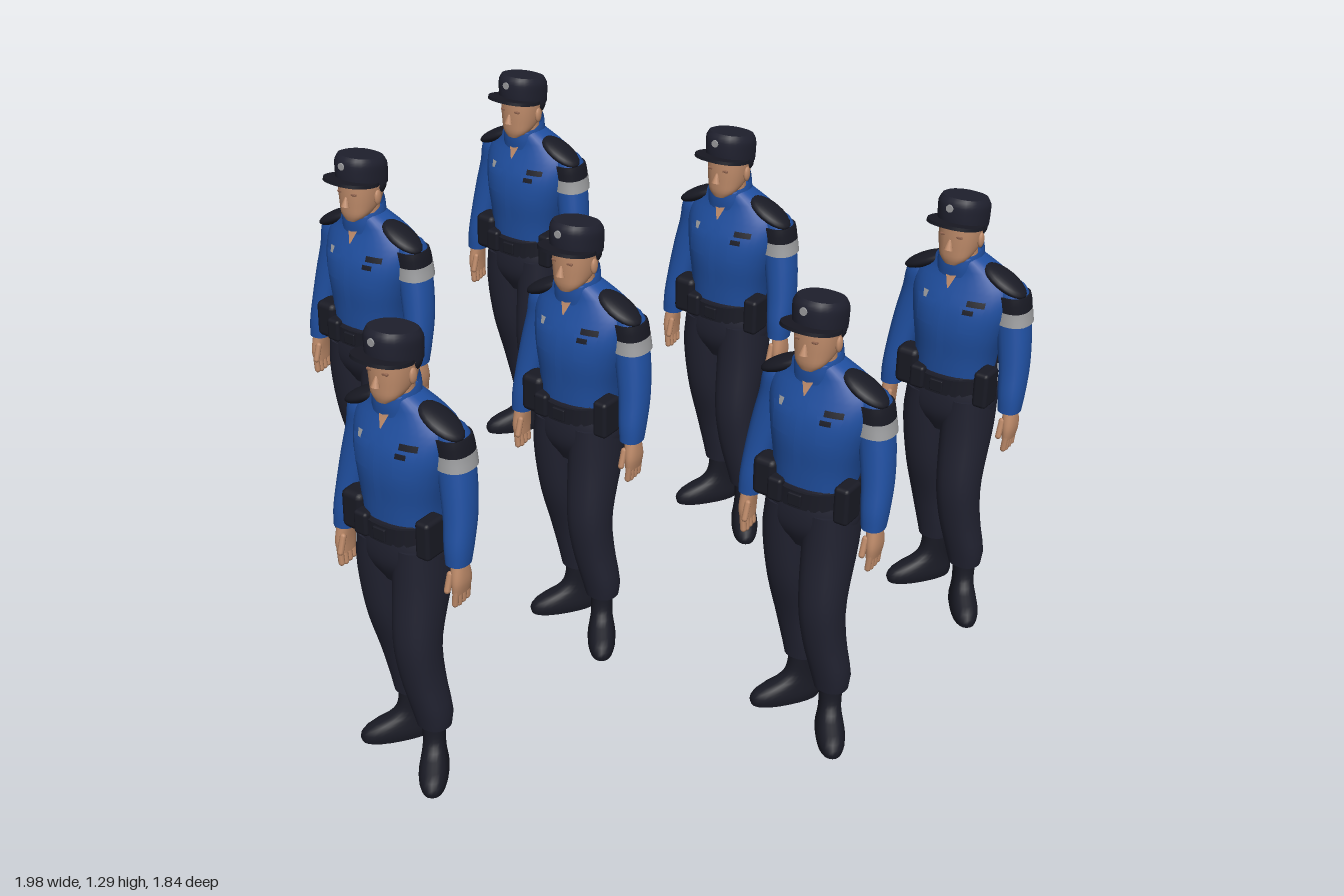
import * as THREE from 'three';
import { RoundedBoxGeometry } from 'three/addons/geometries/RoundedBoxGeometry.js';

const mat = (name, color, side = THREE.FrontSide) => {
  const m = new THREE.MeshStandardMaterial({ color, side });
  m.name = name;
  return m;
};
const EXP = 2.3; // roundness of the cross-sections

// Smooth cross-section [y, cx, cz, rx, rz] of a ring list at height y
function sample(rings, y) {
  let i = 0;
  while (i < rings.length - 2 && y > rings[i + 1][0]) i++;
  const a = rings[i], b = rings[i + 1], h = b[0] - a[0], t = (y - a[0]) / h;
  const p = rings[i - 1] || a, n = rings[i + 2] || b;
  return a.map((v, k) => {
    if (k === 0) return y;
    const m0 = (b[k] - p[k]) / (b[0] - p[0]) * h, m1 = (n[k] - v) / (n[0] - a[0]) * h;
    return v * (1 + 2 * t) * (1 - t) ** 2 + m0 * t * (1 - t) ** 2 + b[k] * t * t * (3 - 2 * t) + m1 * t * t * (t - 1);
  });
}

// Skin over horizontal cross-sections; tilt raises the front of each ring
function loft(rings, { steps = 14, tilt = 0, caps = true, seg = 24, y0 = rings[0][0], y1 = rings.at(-1)[0], grow = 0 } = {}) {
  const pos = [], idx = [];
  const addRing = (r) => {
    for (let i = 0; i < seg; i++) {
      const a = i / seg * Math.PI * 2, c = Math.cos(a), s = Math.sin(a);
      const dx = Math.sign(c) * Math.abs(c) ** (2 / EXP) * (r[3] + grow);
      const dz = Math.sign(s) * Math.abs(s) ** (2 / EXP) * (r[4] + grow);
      pos.push(r[1] + dx, r[0] + tilt * dz, r[2] + dz);
    }
  };
  for (let k = 0; k <= steps; k++) {
    addRing(sample(rings, y0 + (y1 - y0) * k / steps));
    for (let i = 0; k && i < seg; i++) {
      const b = k * seg, j = (i + 1) % seg;
      idx.push(b - seg + i, b + i, b - seg + j, b - seg + j, b + i, b + j);
    }
  }
  if (caps) for (const y of [y0, y1]) {
    const r = sample(rings, y), b = pos.length / 3;
    addRing(r);
    pos.push(r[1], r[0], r[2]);
    for (let i = 0; i < seg; i++) {
      const j = b + (i + 1) % seg;
      if (y === y1) idx.push(b + seg, j, b + i); else idx.push(b + seg, b + i, j);
    }
  }
  const g = new THREE.BufferGeometry();
  g.setAttribute('position', new THREE.Float32BufferAttribute(pos, 3));
  g.setIndex(idx);
  g.computeVertexNormals();
  return g;
}

// Cross-sections: [y, centre x, centre z, half width, half depth]
const TORSO = [[0.72, -0.01, -0.045, 0.112, 0.092], [0.8, -0.008, -0.045, 0.12, 0.097], [0.89, -0.003, -0.045, 0.138, 0.104],
  [0.96, 0, -0.05, 0.152, 0.1], [1.02, 0, -0.058, 0.15, 0.084], [1.06, -0.004, -0.055, 0.112, 0.066], [1.1, -0.015, -0.042, 0.058, 0.052]];
const PELVIS = [[0.56, -0.005, -0.04, 0.07, 0.07], [0.62, -0.008, -0.042, 0.125, 0.1], [0.68, -0.009, -0.043, 0.128, 0.105], [0.75, -0.01, -0.045, 0.112, 0.096]];
const RIGHT_LEG = [[0.15, -0.037, -0.072, 0.046, 0.048], [0.19, -0.04, -0.074, 0.054, 0.054], [0.29, -0.056, -0.063, 0.056, 0.06],
  [0.43, -0.063, -0.036, 0.063, 0.073], [0.58, -0.071, -0.04, 0.071, 0.094], [0.68, -0.068, -0.044, 0.066, 0.1]];
const LEFT_LEG = [[0.14, 0.107, 0.01, 0.046, 0.043], [0.18, 0.103, 0.01, 0.054, 0.05], [0.29, 0.08, 0.018, 0.058, 0.058],
  [0.4, 0.069, 0.02, 0.062, 0.064], [0.57, 0.057, -0.025, 0.069, 0.088], [0.68, 0.052, -0.044, 0.066, 0.1]];
const ARM = [[0.65, 0.189, -0.012, 0.031, 0.036], [0.7, 0.186, -0.02, 0.036, 0.042], [0.78, 0.178, -0.038, 0.041, 0.047],
  [0.87, 0.163, -0.052, 0.046, 0.05], [0.95, 0.148, -0.06, 0.046, 0.051], [1.02, 0.14, -0.057, 0.041, 0.045], [1.05, 0.132, -0.055, 0.018, 0.022]];
const HEAD = [[1.083, -0.02, 0.002, 0.024, 0.024], [1.1, -0.02, -0.006, 0.042, 0.038], [1.13, -0.02, -0.028, 0.054, 0.062],
  [1.17, -0.02, -0.034, 0.059, 0.069], [1.22, -0.02, -0.035, 0.059, 0.069]];
const BOOT = [[0, 0, 0.045, 0.037, 0.1], [0.02, 0, 0.045, 0.041, 0.104], [0.045, 0, 0.036, 0.037, 0.09],
  [0.07, 0, 0.01, 0.032, 0.056], [0.1, 0, 0, 0.031, 0.042], [0.18, 0, -0.005, 0.035, 0.04]];
const CROWN = [[1.19, -0.02, -0.038, 0.066, 0.078], [1.22, -0.02, -0.038, 0.068, 0.079], [1.255, -0.02, -0.038, 0.068, 0.076], [1.272, -0.02, -0.038, 0.06, 0.066]];

function createOfficer() {
  const blue = mat('shirt blue', 0x1f4e9e), navy = mat('uniform navy', 0x20212f), black = mat('gear black', 0x191a24);
  const skin = mat('skin', 0xbd8a69), shade = mat('face shade', 0x936650);
  const grey = mat('band grey', 0x9c9d9f), collarBlue = mat('collar blue', 0x1f4e9e, THREE.DoubleSide);
  const g = new THREE.Group();
  const add = (name, geo, material, p = [0, 0, 0], parent = g) => {
    const m = new THREE.Mesh(geo, material);
    m.name = name;
    m.position.set(...p);
    parent.add(m);
    return m;
  };
  // Thin panel laid over the front of the chest; low is its width factor at the bottom
  const panel = (name, material, x, y, w, h, low = 1, lift = 0.004) => {
    const geo = new THREE.PlaneGeometry(w, h, 6, 6), p = geo.attributes.position;
    for (let i = 0; i < p.count; i++) {
      const py = y + p.getY(i), px = x + p.getX(i) * (low + (1 - low) * (p.getY(i) / h + 0.5));
      const r = sample(TORSO, py), u = Math.min(1, Math.abs(px - r[1]) / r[3]);
      p.setXYZ(i, px, py, r[2] + r[4] * (1 - u ** EXP) ** (1 / EXP) + lift);
    }
    geo.computeVertexNormals();
    add(name, geo, material);
  };

  // Legs and boots
  add('hips', loft(PELVIS), navy);
  add('rightLeg', loft(RIGHT_LEG), navy);
  add('leftLeg', loft(LEFT_LEG), navy);
  add('rightBoot', loft(BOOT), black, [-0.035, 0, -0.068]).rotation.y = -0.62;
  add('leftBoot', loft(BOOT), black, [0.108, 0, 0.014]).rotation.y = 0.62;

  // Shirt
  add('shirt', loft(TORSO, { steps: 22, seg: 32 }), blue);
  panel('openNeck', skin, -0.015, 1.05, 0.06, 0.07, 0.05, 0.006);
  panel('placket', blue, -0.01, 0.89, 0.022, 0.25);
  for (const s of [-1, 1]) {
    panel('chestPocket', blue, s * 0.07, 0.935, 0.066, 0.07, 0.9);
    panel('pocketFlap', blue, s * 0.07, 0.968, 0.07, 0.024, 0.8, 0.008);
  }
  panel('nameTag', black, 0.078, 0.99, 0.05, 0.016, 1, 0.009);
  panel('chestPatch', black, 0.062, 0.966, 0.03, 0.014, 1, 0.01);
  panel('chestBadge', grey, -0.078, 0.985, 0.018, 0.02, 0.6, 0.009);

  // Collar, higher at the back
  const collar = [[1.07, -0.018, -0.04, 0.064, 0.06], [1.1, -0.018, -0.039, 0.062, 0.061], [1.118, -0.018, -0.039, 0.058, 0.06]];
  add('collar', loft(collar, { steps: 4, tilt: -0.45, caps: false }), collarBlue);

  // Arms, hands and shoulder pieces
  for (const s of [-1, 1]) {
    const side = s > 0 ? 'left' : 'right', lift = s > 0 ? 0.022 : 0;
    const rings = ARM.map(([y, x, ...r]) => [y + lift * (1.05 - y) / 0.4, s * x, ...r]);
    add(side + 'Sleeve', loft(rings, { steps: 20 }), blue);
    const pad = add(side + 'Epaulette', new THREE.SphereGeometry(1, 20, 12), black, [s * 0.122, 1.048, -0.042]);
    pad.scale.set(0.074, 0.02, 0.046);
    pad.rotation.z = -s * 0.48;
    if (s > 0) {
      add('darkArmBand', loft(rings, { y0: 0.967, y1: 1.012, steps: 4, grow: 0.005 }), black);
      add('greyArmBand', loft(rings, { y0: 0.928, y1: 0.967, steps: 4, grow: 0.006 }), grey);
    }
    const hand = new THREE.Group();
    hand.name = side + 'Hand';
    hand.position.set(s * 0.195, 0.65 + lift, -0.012);
    g.add(hand);
    add('palm', loft([[-0.085, 0, 0, 0.014, 0.032], [-0.05, 0.002 * s, 0, 0.018, 0.035], [0.01, -0.004 * s, 0, 0.021, 0.024]], { steps: 8 }), skin, [0, 0, 0], hand);
    for (let i = 0; i < 4; i++) {
      const f = add('finger', new THREE.CapsuleGeometry(0.009, 0.045 - 0.006 * Math.abs(i - 1), 3, 8), skin, [0, -0.097, 0.024 - i * 0.016], hand);
      f.rotation.z = -s * 0.1;
    }
    const thumb = add('thumb', new THREE.CapsuleGeometry(0.009, 0.045, 3, 8), skin, [-s * 0.014, -0.05, 0.033], hand);
    thumb.rotation.x = -0.3;
  }

  // Belt and pouches
  const belt = [[0.705, -0.01, -0.046, 0.125, 0.107], [0.755, -0.01, -0.046, 0.12, 0.106]];
  add('belt', loft(belt, { steps: 2, tilt: -0.12, seg: 32 }), black);
  const pouches = [['holster', -0.122, 0.735, 0.01, 0.07, 0.115, 0.07], ['radioPouch', 0.12, 0.735, 0.015, 0.045, 0.11, 0.075],
    ['frontPouch', -0.075, 0.725, 0.045, 0.045, 0.07, 0.04], ['backPouch', 0.05, 0.75, -0.142, 0.06, 0.05, 0.03],
    ['cuffPouch', -0.06, 0.75, -0.142, 0.06, 0.05, 0.03], ['buckle', -0.01, 0.718, 0.06, 0.04, 0.036, 0.012]];
  for (const [name, x, y, z, w, h, d] of pouches) add(name, new RoundedBoxGeometry(w, h, d, 2, Math.min(d, w) * 0.25), black, [x, y, z]);

  // Head
  add('neck', new THREE.CylinderGeometry(0.043, 0.048, 0.1, 20), skin, [-0.019, 1.095, -0.044]);
  add('head', loft(HEAD), skin);
  const nose = add('nose', new THREE.ConeGeometry(0.013, 0.042, 8), skin, [-0.02, 1.153, 0.034]);
  nose.rotation.x = -0.25;
  add('mouth', new RoundedBoxGeometry(0.034, 0.005, 0.008, 2, 0.002), shade, [-0.02, 1.119, 0.028]);
  for (const s of [-1, 1]) {
    add('eye', new RoundedBoxGeometry(0.02, 0.007, 0.008, 2, 0.002), shade, [-0.02 + s * 0.024, 1.173, 0.029]);
    add('ear', new THREE.SphereGeometry(1, 12, 8), skin, [-0.02 + s * 0.06, 1.152, -0.036]).scale.set(0.008, 0.023, 0.014);
  }
  add('hair', new THREE.SphereGeometry(1, 20, 12), black, [-0.02, 1.178, -0.06]).scale.set(0.061, 0.046, 0.052);

  // Cap with a raised visor and a small round badge
  add('capCrown', loft(CROWN, { steps: 10, tilt: 0.2 }), navy);
  const visor = [[1.2, -0.02, 0.008, 0.079, 0.077], [1.21, -0.02, 0.008, 0.077, 0.075]];
  add('capVisor', loft(visor, { steps: 1, tilt: 0.22 }), black);
  const badge = add('capBadge', new THREE.CylinderGeometry(0.011, 0.011, 0.006, 12), grey, [-0.026, 1.257, 0.04]);
  badge.rotation.x = Math.PI / 2;
  return g;
}

export function createModel() {
  const model = new THREE.Group(), officer = createOfficer(), gap = 0.77;
  model.name = 'officerFormation';
  // Two rows of three and one in front
  for (const [col, row] of [[-1, -1], [0, -1], [1, -1], [-1, 0], [0, 0], [1, 0], [0, 1]]) {
    const o = officer.clone();
    o.name = 'officer';
    o.position.set(col * gap, 0, row * gap);
    model.add(o);
  }
  return model;
}
